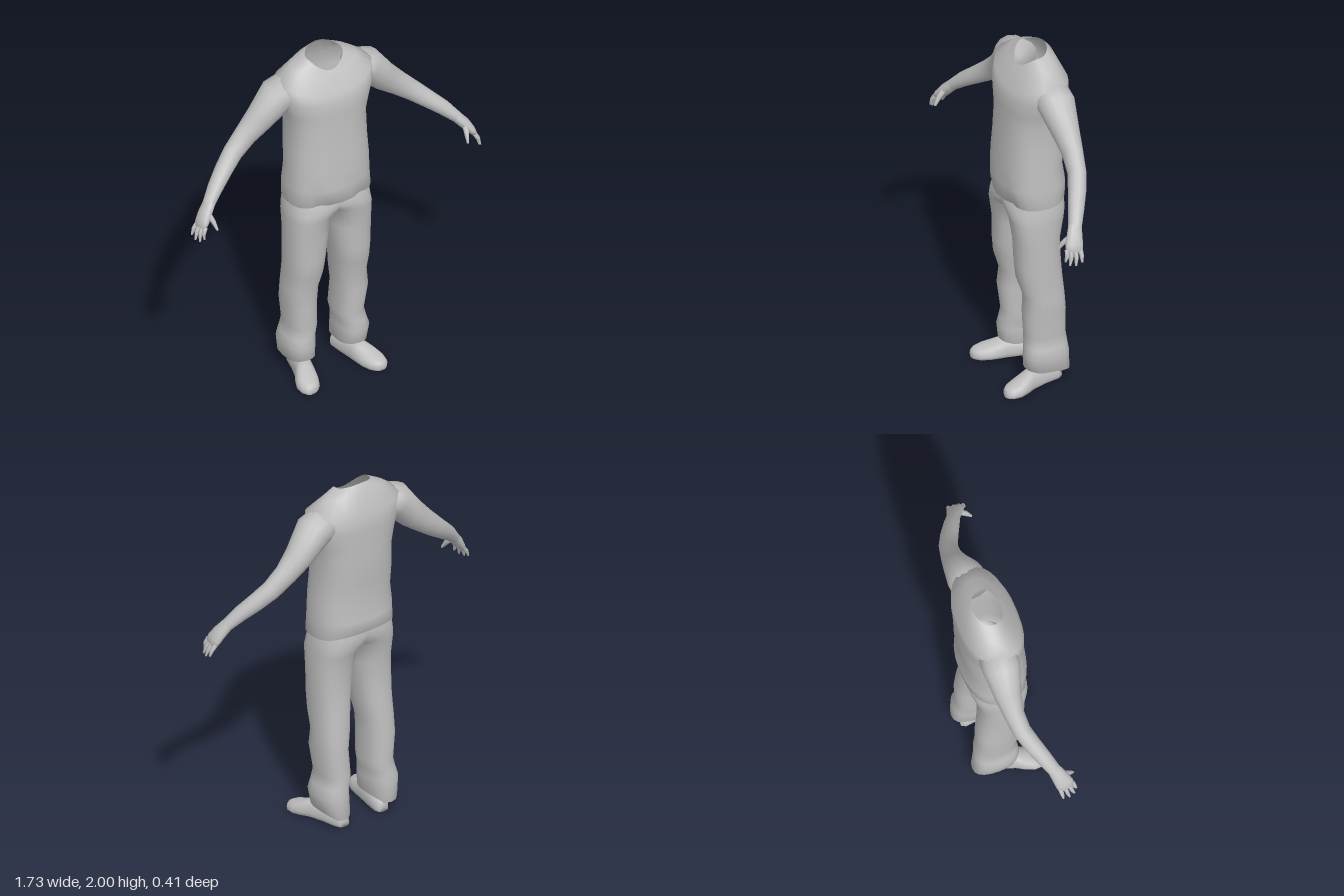
import * as THREE from 'three';

const grey = new THREE.MeshStandardMaterial({ color: 0xbfbfbf, side: THREE.DoubleSide });
grey.name = 'plain grey';

// Smooth skin over a list of rings; ends listed in caps ('start', 'end') are closed.
// side = -1 mirrors the part to the other half of the body.
function loft(name, rings, side = 1, caps = []) {
  const n = rings[0].length, pos = [], idx = [];
  const tri = (a, b, c) => (side > 0 ? idx.push(a, b, c) : idx.push(a, c, b));
  rings.forEach(r => r.forEach(p => pos.push(p.x * side, p.y, p.z)));
  for (let j = 0; j < rings.length - 1; j++) {
    for (let i = 0; i < n; i++) {
      const k = (i + 1) % n, a = j * n + i, b = j * n + k;
      tri(a, b, a + n);
      tri(b, b + n, a + n);
    }
  }
  for (const cap of caps) {
    const j = cap === 'start' ? 0 : rings.length - 1;
    const c = rings[j].reduce((s, p) => s.add(p), new THREE.Vector3()).divideScalar(n);
    const m = pos.length / 3;
    pos.push(c.x * side, c.y, c.z);
    for (let i = 0; i < n; i++) {
      const a = j * n + i, b = j * n + (i + 1) % n;
      cap === 'start' ? tri(m, b, a) : tri(m, a, b);
    }
  }
  const g = new THREE.BufferGeometry();
  g.setAttribute('position', new THREE.Float32BufferAttribute(pos, 3));
  g.setIndex(idx);
  g.computeVertexNormals();
  const mesh = new THREE.Mesh(g, grey);
  mesh.name = name;
  return mesh;
}

const soft = (v, e) => Math.sign(v) * Math.abs(v) ** e;
const ring = (n, f) => Array.from({ length: n }, (_, i) => {
  const a = (i / n) * Math.PI * 2;
  return f(Math.cos(a), Math.sin(a));
});

// Level cross-section whose height may differ at side, front and back.
function slice(n, [ySide, yFront, yBack, xOut, xIn, zf, zb], e) {
  const cx = (xOut + xIn) / 2, hw = (xOut - xIn) / 2, cz = (zf + zb) / 2, hz = (zf - zb) / 2;
  return ring(n, (c, s) => new THREE.Vector3(
    cx + hw * soft(c, e),
    ySide + (s > 0 ? yFront - ySide : yBack - ySide) * s * s,
    cz + hz * soft(s, e)));
}

// Limb along stations [x, y, z, half thickness, half depth].
function limb(name, stations, n, side, caps) {
  const pts = stations.map(s => new THREE.Vector3(s[0], s[1], s[2]));
  const rings = stations.map((s, j) => {
    const t = pts[Math.min(j + 1, pts.length - 1)].clone().sub(pts[Math.max(j - 1, 0)]).normalize();
    const u = new THREE.Vector3(-t.y, t.x, 0).normalize();
    const w = t.clone().cross(u);
    return ring(n, (c, k) => pts[j].clone().addScaledVector(u, c * s[3]).addScaledVector(w, k * s[4]));
  });
  return loft(name, rings, side, caps);
}

function makeShirt() {
  // side, front and back height, half width, front z, back z
  const rows = [
    [1.975, 1.91, 2.0, 0.105, 0.04, -0.12],
    [1.93, 1.885, 1.965, 0.19, 0.06, -0.15],
    [1.872, 1.80, 1.85, 0.27, 0.113, -0.2],
    [1.78, 1.75, 1.76, 0.267, 0.13, -0.203],
    [1.69, 1.68, 1.68, 0.243, 0.132, -0.2],
    [1.6, 1.6, 1.6, 0.222, 0.132, -0.2],
    [1.45, 1.45, 1.45, 0.225, 0.14, -0.196],
    [1.33, 1.33, 1.33, 0.23, 0.148, -0.178],
    [1.22, 1.22, 1.22, 0.235, 0.152, -0.195],
    [1.12, 1.13, 1.15, 0.24, 0.156, -0.192],
    [1.125, 1.135, 1.155, 0.222, 0.115, -0.17],
  ];
  const rings = rows.map(([a, b, c, hw, zf, zb], j) =>
    slice(28, [a, b, c, hw, -hw, zf, zb], j < 2 ? 1 : 0.82));
  // two soft folds above the hem
  rings[9].forEach(p => {
    if (p.z > 0) p.z -= 0.022 * Math.exp(-(((Math.abs(p.x) - 0.12) / 0.045) ** 2));
  });
  return loft('shirt', rings);
}

function makeTrouserLeg(side) {
  // height, outer x, inner x, front z, back z; the top spans the whole hips
  const rows = [
    [1.17, 0.222, -0.222, 0.115, -0.178],
    [1.12, 0.235, -0.19, 0.135, -0.186],
    [1.06, 0.24, -0.07, 0.135, -0.174],
    [1.02, 0.243, 0.0, 0.13, -0.16],
    [0.9, 0.243, 0.012, 0.112, -0.135],
    [0.75, 0.24, 0.03, 0.108, -0.138],
    [0.66, 0.237, 0.04, 0.1, -0.145],
    [0.55, 0.237, 0.055, 0.066, -0.155],
    [0.45, 0.242, 0.068, 0.074, -0.16],
    [0.3, 0.222, 0.06, 0.06, -0.165],
    [0.24, 0.235, 0.075, 0.066, -0.17],
    [0.19, 0.252, 0.074, 0.072, -0.175],
  ];
  const rings = rows.map(([y, ...r]) => slice(20, [y, y, y, ...r], 0.85));
  // cuff, lower at the heel, and its tucked underside
  rings.push(slice(20, [0.1, 0.115, 0.065, 0.236, 0.076, 0.068, -0.182], 0.85));
  rings.push(slice(20, [0.09, 0.105, 0.045, 0.21, 0.1, 0.04, -0.145], 0.85));
  return loft('trouserLeg', rings, side, ['end']);
}

function makeShoe(side) {
  // z, centre x, half width, height
  const rows = [
    [-0.145, 0.13, 0.03, 0.06], [-0.12, 0.133, 0.046, 0.08], [-0.04, 0.147, 0.05, 0.1],
    [0.04, 0.167, 0.055, 0.108], [0.08, 0.182, 0.063, 0.09], [0.13, 0.197, 0.067, 0.07],
    [0.175, 0.205, 0.055, 0.056], [0.197, 0.208, 0.035, 0.045], [0.205, 0.21, 0.015, 0.03],
  ];
  const rings = rows.map(([z, cx, hw, h]) => ring(16, (c, s) => new THREE.Vector3(
    cx + hw * soft(c, 0.8),
    0.3 * h + (s > 0 ? 0.7 * h * s : 0.3 * h * soft(s, 0.4)),
    z)));
  return loft('shoe', rings, side, ['start', 'end']);
}

function makeArm(side) {
  const g = new THREE.Group();
  g.name = side > 0 ? 'leftArm' : 'rightArm';
  g.add(limb('arm', [
    [0.18, 1.82, -0.06, 0.085, 0.1],
    [0.27, 1.785, -0.062, 0.096, 0.102],
    [0.375, 1.668, -0.068, 0.079, 0.074],
    [0.46, 1.592, -0.067, 0.066, 0.056],
    [0.545, 1.52, -0.052, 0.056, 0.05],
    [0.62, 1.458, -0.018, 0.048, 0.048],
    [0.69, 1.4, 0.02, 0.041, 0.043],
    [0.755, 1.335, 0.057, 0.03, 0.036],
  ], 14, side, ['start']));
  g.add(limb('palm', [
    [0.745, 1.346, 0.052, 0.03, 0.036],
    [0.785, 1.3, 0.073, 0.03, 0.044],
    [0.812, 1.262, 0.088, 0.024, 0.05],
    [0.828, 1.235, 0.096, 0.015, 0.046],
  ], 12, side, ['end']));
  // four fingers fanned across the palm
  const tips = [[0.832, 1.19, 0.147], [0.85, 1.172, 0.13], [0.86, 1.17, 0.1], [0.862, 1.182, 0.065]];
  tips.forEach(([x, y, z], i) => {
    const root = [0.817, 1.25, 0.13 - i * 0.024];
    const mid = [(root[0] + x) / 2 + 0.008, (root[1] + y) / 2, (root[2] + z) / 2];
    g.add(limb('finger', [[...root, 0.013, 0.014], [...mid, 0.012, 0.012], [x, y, z, 0.005, 0.006]],
      6, side, ['start', 'end']));
  });
  g.add(limb('thumb', [
    [0.78, 1.31, 0.085, 0.016, 0.018], [0.768, 1.27, 0.128, 0.014, 0.015], [0.758, 1.228, 0.157, 0.006, 0.007],
  ], 6, side, ['start', 'end']));
  return g;
}

export function createModel() {
  const model = new THREE.Group();
  model.name = 'headlessFigure';
  model.add(makeShirt());
  for (const side of [1, -1]) {
    model.add(makeTrouserLeg(side), makeShoe(side), makeArm(side));
  }
  return model;
}
